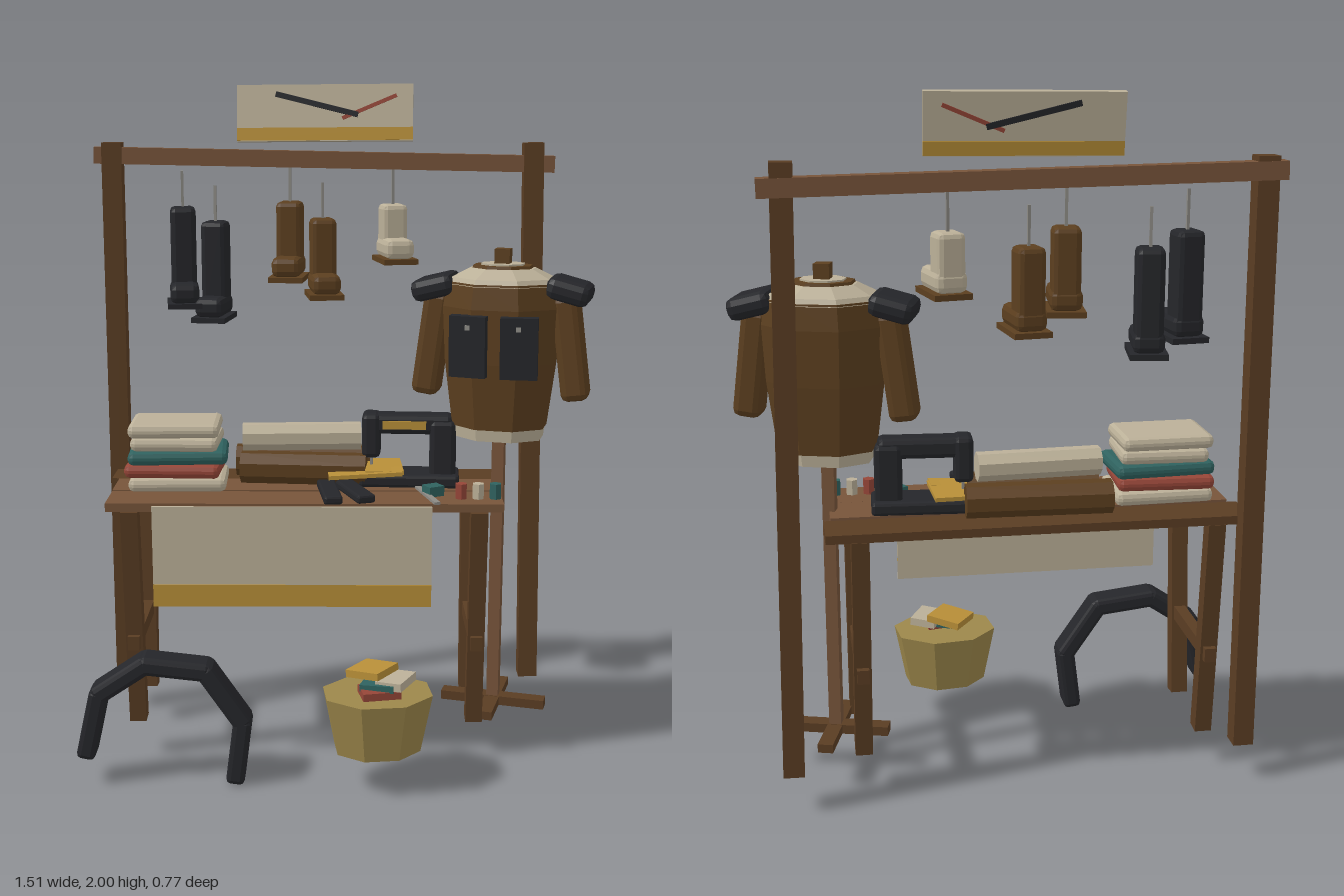
import * as THREE from 'three';
import { RoundedBoxGeometry } from 'three/addons/geometries/RoundedBoxGeometry.js';

const palette = {
  darkWood: 0x5a3d23, wood: 0x77543a, leather: 0x5c3f1f, black: 0x25262a, cream: 0xbbb098,
  gold: 0xb88f38, straw: 0x9c874b, red: 0x964638, teal: 0x2f625f, steel: 0x8c8a84,
};

export function createModel() {
  const root = new THREE.Group();
  root.name = 'leatherWorkshopStall';
  const mats = {};
  for (const [name, color] of Object.entries(palette)) {
    mats[name] = new THREE.MeshStandardMaterial({ color });
    mats[name].name = name;
  }

  // Helpers: every mesh gets faceted normals
  const add = (name, geo, mat, pos = [0, 0, 0], rot = [0, 0, 0], parent = root) => {
    const g = geo.index ? geo.toNonIndexed() : geo;
    g.computeVertexNormals();
    const m = new THREE.Mesh(g, mats[mat]);
    m.name = name;
    m.position.set(...pos);
    m.rotation.set(...rot);
    parent.add(m);
    return m;
  };
  const box = (name, size, mat, pos, rot, parent) =>
    add(name, new THREE.BoxGeometry(...size), mat, pos, rot, parent);
  const soft = (name, size, r, mat, pos, rot, parent) =>
    add(name, new RoundedBoxGeometry(...size, 1, r), mat, pos, rot, parent);
  const bar = (name, a, b, w, d, mat, parent, r = 0, extra = 0) => {
    const A = new THREE.Vector3(...a), B = new THREE.Vector3(...b);
    const dir = B.clone().sub(A), len = dir.length() + extra;
    const geo = r ? new RoundedBoxGeometry(w, len, d, 1, r) : new THREE.BoxGeometry(w, len, d);
    const m = add(name, geo, mat, A.add(B).multiplyScalar(0.5).toArray(), [0, 0, 0], parent);
    m.quaternion.setFromUnitVectors(new THREE.Vector3(0, 1, 0), dir.normalize());
    return m;
  };
  const group = (name, pos, rot = [0, 0, 0]) => {
    const g = new THREE.Group();
    g.name = name;
    g.position.set(...pos);
    g.rotation.set(...rot);
    root.add(g);
    return g;
  };
  const rings = (profile, zScale, sides = 8) => {
    const g = new THREE.LatheGeometry(profile.map(p => new THREE.Vector2(...p)), sides, Math.PI / sides);
    return g.scale(1, 1, zScale);
  };

  // Hanging frame
  bar('leftPost', [-0.69, 0.115, -0.33], [-0.685, 1.825, -0.33], 0.06, 0.06, 'darkWood');
  bar('rightPost', [0.62, 0.115, -0.33], [0.595, 1.825, -0.33], 0.06, 0.06, 'darkWood');
  bar('topBeam', [-0.74, 1.787, -0.335], [0.66, 1.76, -0.335], 0.05, 0.052, 'wood');

  // Sign board, painted on both sides
  const sign = group('signBoard', [-0.037, 1.912, -0.30], [-0.15, -0.05, 0]);
  box('board', [0.53, 0.168, 0.024], 'cream', [0, 0, 0], [0, 0, 0], sign);
  for (const s of [1, -1]) {
    box('signStripe', [0.53, 0.038, 0.003], 'gold', [0, -0.063, s * 0.0125], [0, 0, 0], sign);
    bar('blackStroke', [-0.147, 0.056, s * 0.014], [0.1, -0.007, s * 0.014], 0.016, 0.006, 'black', sign);
    bar('redStroke', [0.053, -0.017, s * 0.013], [0.216, 0.05, s * 0.013], 0.011, 0.006, 'red', sign);
  }

  // Work table
  box('frontPlank', [1.155, 0.025, 0.143], 'wood', [-0.092, 0.798, 0.052]);
  box('middlePlank', [1.16, 0.025, 0.14], 'wood', [-0.09, 0.8, -0.096]);
  box('backPlank', [1.205, 0.025, 0.13], 'darkWood', [-0.092, 0.797, -0.243]);
  for (const x of [-0.6, 0.415]) {
    bar('frontLeg', [x, 0.115, 0.038], [x, 0.787, 0.108], 0.05, 0.05, 'darkWood');
    bar('backLeg', [x, 0.115, -0.225], [x, 0.787, -0.285], 0.05, 0.05, 'darkWood');
    box('legBrace', [0.035, 0.042, 0.405], 'darkWood', [x, 0.377, -0.092]);
  }

  // Cloth over the front edge
  box('hangingCloth', [0.81, 0.3, 0.008], 'cream', [-0.128, 0.655, 0.135]);
  box('clothStripe', [0.81, 0.066, 0.004], 'gold', [-0.128, 0.538, 0.14]);

  // Boots on strings: x, sole height, shaft top, string top, yaw, colour
  for (const [x, y0, y1, y2, yaw, mat] of [
    [-0.475, 1.33, 1.632, 1.735, 0.12, 'black'], [-0.375, 1.287, 1.588, 1.69, -0.15, 'black'],
    [-0.145, 1.41, 1.648, 1.75, -0.1, 'leather'], [-0.045, 1.357, 1.597, 1.70, 0.13, 'leather'],
    [0.17, 1.465, 1.64, 1.74, 0.2, 'cream']]) {
    const b = group('hangingBoot', [x, 0, -0.33], [0, yaw, 0]);
    soft('bootShaft', [0.078, y1 - y0 - 0.02, 0.085], 0.015, mat, [0, (y0 + y1) / 2 + 0.01, 0], [0, 0, 0], b);
    soft('bootFoot', [0.088, 0.06, 0.158], 0.018, mat, [0, y0 + 0.045, 0.035], [0, 0, 0], b);
    box('bootSole', [0.105, 0.016, 0.172], mat === 'black' ? 'black' : 'leather', [0, y0 + 0.008, 0.035], [0, 0, 0], b);
    box('bootString', [0.008, y2 - y1 + 0.01, 0.008], 'steel', [0, (y1 + y2) / 2, 0], [0, 0, 0], b);
  }

  // Folded fabric stack
  [['cream', -0.475, 0.29, 0.03], ['red', -0.485, 0.285, -0.04], ['teal', -0.475, 0.295, 0.06],
    ['cream', -0.478, 0.26, -0.03], ['cream', -0.483, 0.27, 0.02]].forEach(([mat, x, w, yaw], i) =>
    soft('foldedFabric', [w, 0.041, 0.205], 0.016, mat, [x, 0.834 + i * 0.0405, -0.09], [0, yaw, 0]));

  // Rolled hides
  const roll = (name, r, len, mat, pos, yaw) =>
    add(name, new THREE.CylinderGeometry(r, r, len, 8).rotateY(Math.PI / 8).rotateZ(Math.PI / 2), mat, pos, [0, yaw, 0]);
  roll('backHideRoll', 0.05, 0.42, 'leather', [-0.1, 0.86, -0.215], -0.03);
  roll('frontHideRoll', 0.05, 0.38, 'leather', [-0.1, 0.86, -0.112], -0.09);
  roll('creamRoll', 0.043, 0.36, 'cream', [-0.107, 0.948, -0.162], 0.05);

  // Sewing machine
  const sew = group('sewingMachine', [0.22, 0, -0.115], [0, -0.06, 0]);
  soft('machineBase', [0.3, 0.04, 0.13], 0.01, 'black', [0, 0.832, 0], [0, 0, 0], sew);
  soft('machineColumn', [0.08, 0.18, 0.085], 0.015, 'black', [0.1, 0.925, 0], [0, 0, 0], sew);
  soft('machineArm', [0.26, 0.06, 0.075], 0.015, 'black', [0, 1.0, 0], [0, 0, 0], sew);
  soft('machineHead', [0.055, 0.135, 0.085], 0.014, 'black', [-0.115, 0.965, 0], [0, 0, 0], sew);
  box('needle', [0.008, 0.06, 0.008], 'steel', [-0.115, 0.878, 0], [0, 0, 0], sew);
  box('machinePlate', [0.13, 0.025, 0.006], 'gold', [-0.015, 1.0, 0.039], [0, 0, 0], sew);

  // Gold leather pieces, cut strips and ruler
  box('goldSheet', [0.22, 0.012, 0.075], 'gold', [0.085, 0.86, -0.045], [0, 0.03, 0.05]);
  box('goldSheet', [0.115, 0.012, 0.17], 'gold', [0.14, 0.864, -0.115], [0, 0.04, 0]);
  soft('blackStrip', [0.055, 0.025, 0.21], 0.007, 'black', [-0.02, 0.828, 0.05], [0, 0.12, 0]);
  soft('blackStrip', [0.055, 0.025, 0.2], 0.007, 'black', [0.055, 0.832, 0.06], [0, 0.34, 0]);
  box('ruler', [0.017, 0.008, 0.24], 'steel', [0.262, 0.816, 0.02], [0, 0.25, 0]);

  // Spools and a thread box
  [['red', 0.365], ['cream', 0.415], ['teal', 0.465]].forEach(([mat, x]) =>
    add('threadSpool', new THREE.CylinderGeometry(0.018, 0.018, 0.045, 6), mat, [x, 0.834, 0.06]));
  box('threadBox', [0.05, 0.03, 0.045], 'teal', [0.285, 0.826, 0.022], [0, 0.5, 0]);

  // Jacket on a dress stand
  const stand = group('dressStand', [0.487, 0, -0.085], [0, -0.27, 0]);
  const part = (fn, ...a) => fn(...a, stand);
  const zero = [0, 0, 0];
  part(box, 'standFootAcross', [0.32, 0.028, 0.045], 'darkWood', [0, 0.131, 0], zero);
  part(box, 'standFootAlong', [0.045, 0.026, 0.3], 'darkWood', [0, 0.131, 0], zero);
  part(box, 'standPole', [0.036, 0.85, 0.036], 'wood', [0, 0.56, 0], zero);
  part(add, 'waistBand', rings([[0, 0.968], [0.136, 0.968], [0.142, 1.005], [0, 1.005]], 0.77), 'cream', zero, zero);
  part(add, 'jacketBody', rings([[0, 1.003], [0.146, 1.003], [0.172, 1.2], [0.18, 1.36], [0.166, 1.432], [0, 1.432]], 0.78),
    'leather', zero, zero);
  part(add, 'creamYoke', rings([[0, 1.425], [0.168, 1.425], [0.155, 1.445], [0.1, 1.472], [0, 1.472]], 0.78), 'cream', zero, zero);
  part(add, 'collar', rings([[0, 1.45], [0.1, 1.45], [0.09, 1.48], [0, 1.48]], 0.82), 'leather', zero, zero);
  part(add, 'collarLining', rings([[0, 1.47], [0.066, 1.47], [0.066, 1.485], [0, 1.485]], 0.85), 'cream', zero, zero);
  part(box, 'neckPost', [0.045, 0.06, 0.045], 'leather', [0, 1.497, 0], zero);
  for (const s of [-1, 1]) {
    bar('sleeve', [s * 0.226, 1.09, 0], [s * 0.185, 1.4, 0], 0.08, 0.1, 'leather', stand, 0.02);
    part(soft, 'shoulderPad', [0.13, 0.065, 0.15], 0.022, 'black', [s * 0.198, 1.412, 0], [0, 0, -s * 0.25]);
    part(box, 'chestPocket', [0.108, 0.18, 0.03], 'black', [s * 0.074, 1.255, 0.132], [0.05, s * 0.1, 0]);
    part(box, 'pocketButton', [0.014, 0.014, 0.008], 'steel', [s * 0.074, 1.312, 0.151], zero);
  }

  // Basket with scraps
  add('basket', rings([[0, 0.115], [0.13, 0.115], [0.165, 0.287], [0, 0.287]], 0.83), 'straw', [0.12, 0, 0.25], [0, 0.12, 0]);
  box('redScrap', [0.11, 0.022, 0.08], 'red', [0.125, 0.298, 0.28], [0, 0.2, 0]);
  box('tealScrap', [0.1, 0.02, 0.1], 'teal', [0.13, 0.314, 0.255], [0, -0.3, 0.05]);
  box('creamScrap', [0.08, 0.024, 0.11], 'cream', [0.172, 0.322, 0.255], [0, -0.45, 0.06]);
  box('goldScrap', [0.11, 0.022, 0.11], 'gold', [0.105, 0.337, 0.21], [0, -0.6, 0.1]);

  // Bent leather arch in segments
  const arch = [[-0.725, 0.095], [-0.685, 0.275], [-0.55, 0.365], [-0.375, 0.345], [-0.27, 0.19], [-0.292, 0.018]];
  for (let i = 0; i < arch.length - 1; i++)
    bar('archSegment', [...arch[i], 0.228], [...arch[i + 1], 0.228], 0.054, 0.094, 'black', root, 0.014, 0.03);

  return root;
}
